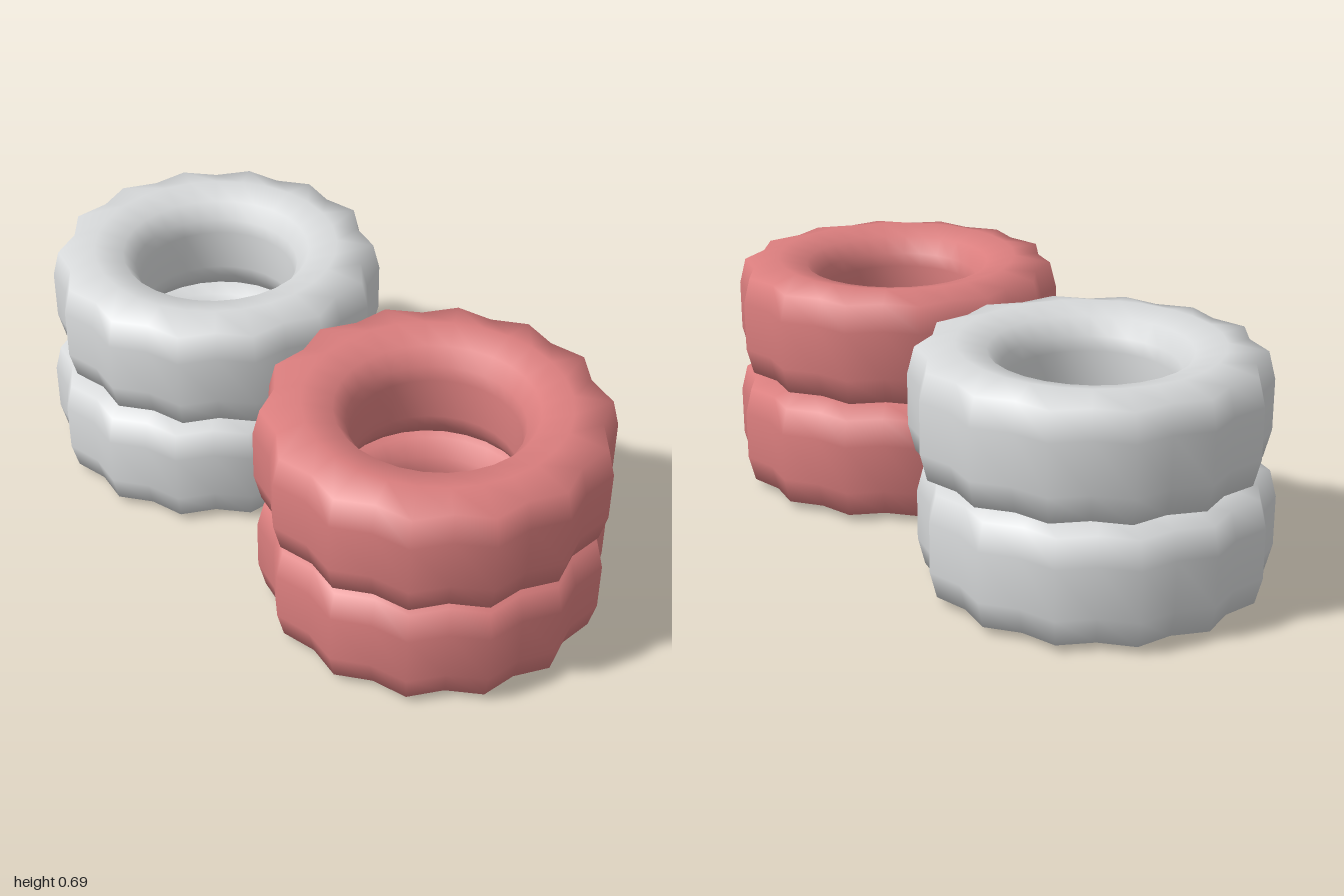
import * as THREE from 'three';
import { mergeVertices } from 'three/addons/utils/BufferGeometryUtils.js';

const LOBES = 14;
const HEIGHT = 0.346;

// One tyre: a closed rounded profile turned round y, with a scalloped tread
function tyreGeometry() {
  const lowerHalf = [[0.235, 0.11], [0.245, 0.07], [0.28, 0.022], [0.365, 0], [0.475, 0.022], [0.495, 0.1]];
  const upperHalf = lowerHalf.map(([r, y]) => [r, HEIGHT - y]).reverse();
  const loop = [...lowerHalf, ...upperHalf, lowerHalf[0]];
  const points = loop.map(([r, y]) => new THREE.Vector2(r, y));
  const lathe = new THREE.LatheGeometry(points, LOBES * 2);

  // Pull every second column of the tread inwards
  const pos = lathe.attributes.position;
  for (let i = 0; i < pos.count; i++) {
    const column = Math.floor(i / points.length);
    const r = Math.hypot(pos.getX(i), pos.getZ(i));
    if (column % 2 === 0 && r > 0.42) {
      const k = (r - 0.032) / r;
      pos.setX(i, pos.getX(i) * k);
      pos.setZ(i, pos.getZ(i) * k);
    }
  }

  // Weld the seams so that the shading is smooth all round
  lathe.deleteAttribute('uv');
  lathe.deleteAttribute('normal');
  const geometry = mergeVertices(lathe, 1e-4);
  geometry.computeVertexNormals();
  return geometry;
}

export function createModel() {
  const model = new THREE.Group();
  model.name = 'tyreStacks';
  const red = new THREE.MeshStandardMaterial({ color: 0xd97d7d });
  red.name = 'red';
  const white = new THREE.MeshStandardMaterial({ color: 0xd6d8d9 });
  white.name = 'lightGrey';
  const geometry = tyreGeometry();

  // Two stacks of two, the upper tyres slightly shifted
  const tyres = [
    ['lowerGreyTyre', white, -0.505, 0, 0],
    ['upperGreyTyre', white, -0.495, HEIGHT, -0.02],
    ['lowerRedTyre', red, 0.49, 0, 0],
    ['upperRedTyre', red, 0.505, HEIGHT, 0.02],
  ];
  for (const [name, material, x, y, z] of tyres) {
    const tyre = new THREE.Mesh(geometry, material);
    tyre.name = name;
    tyre.position.set(x, y, z);
    model.add(tyre);
  }
  return model;
}
